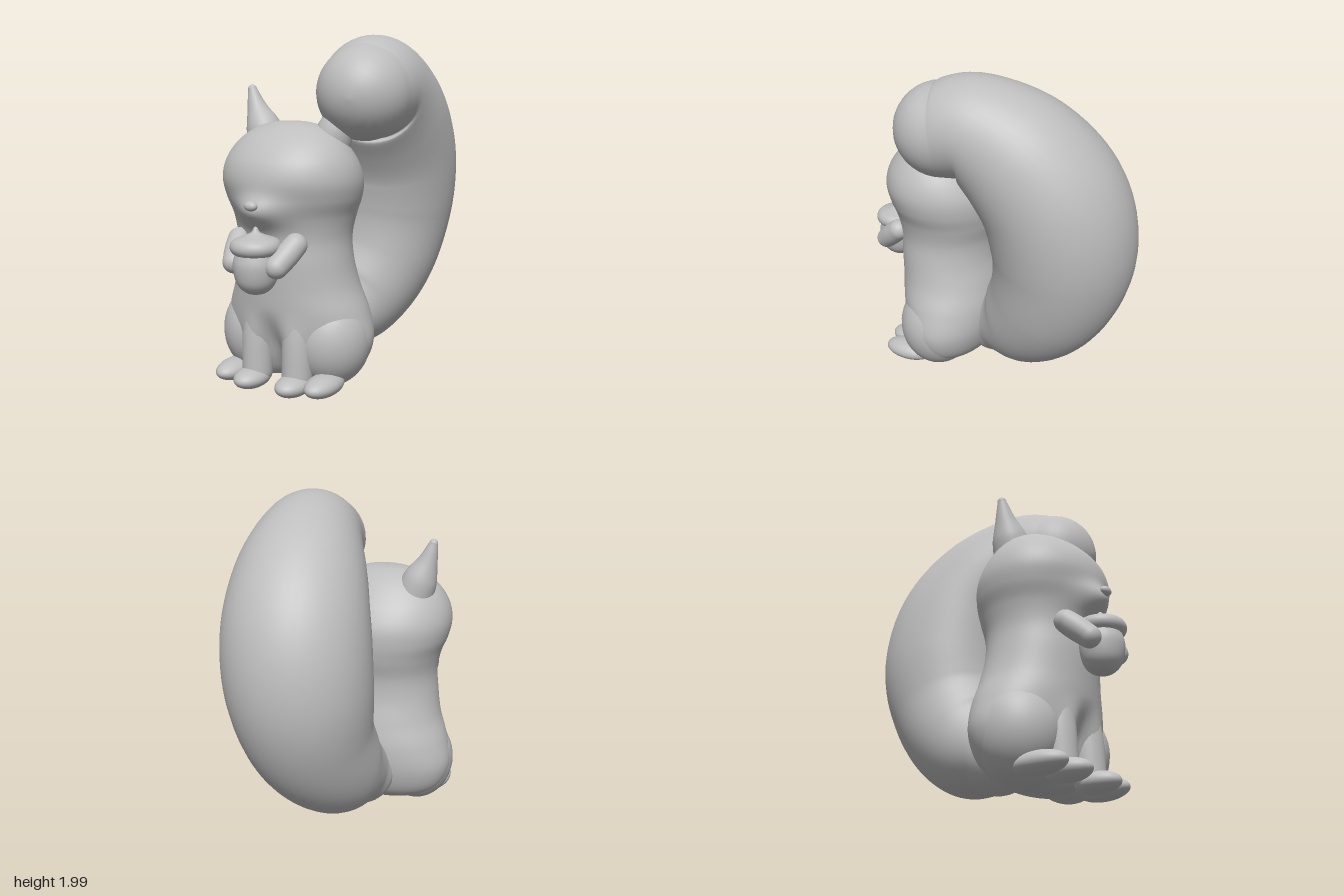
import * as THREE from 'three';

const fur = new THREE.MeshStandardMaterial({ color: 0xbebebe });
fur.name = 'plain grey';
const V = (x, y, z) => new THREE.Vector3(x, y, z);
const bell = (d, width) => Math.exp(-((d / width) ** 2));

// Skin a list of closed rings (equal point counts) with smooth normals
function skin(rings) {
  const n = rings[0].length, index = [];
  for (let i = 0; i < rings.length - 1; i++) {
    for (let j = 0; j < n; j++) {
      const k = (j + 1) % n;
      const a = i * n + j, b = i * n + k, c = b + n, d = a + n;
      index.push(a, b, c, a, c, d);
    }
  }
  const geo = new THREE.BufferGeometry().setFromPoints(rings.flat());
  geo.setIndex(index);
  geo.computeVertexNormals();
  return geo;
}

// Round limb along [x, y, z, radius] points, with domed ends
function limb(points, steps = 24, sides = 28) {
  const path = new THREE.CatmullRomCurve3(points.map(p => V(p[0], p[1], p[2])));
  const radii = new THREE.CatmullRomCurve3(points.map((p, i) => V(p[3], i, 0)));
  const rings = [];
  const addRing = (t, lift = 0, shrink = 1) => {
    const T = path.getTangent(t), r = radii.getPoint(t).x;
    const U = V(1, 0, 0).addScaledVector(T, -T.x).normalize();
    const W = T.clone().cross(U);
    const c = path.getPoint(t).addScaledVector(T, lift * r);
    rings.push(Array.from({ length: sides }, (_, j) => {
      const a = (j / sides) * Math.PI * 2;
      return c.clone().addScaledVector(U, Math.cos(a) * r * shrink)
        .addScaledVector(W, Math.sin(a) * r * shrink);
    }));
  };
  const dome = 10, q = Math.PI / 2 / dome;
  for (let i = dome; i > 0; i--) addRing(0, -Math.sin(i * q), Math.max(Math.cos(i * q), 1e-3));
  for (let i = 0; i <= steps; i++) addRing(i / steps);
  for (let i = 1; i <= dome; i++) addRing(1, Math.sin(i * q), Math.max(Math.cos(i * q), 1e-3));
  return skin(rings);
}

// Soft relief on the front of the body: muzzle, leg ridges and the hollow between them
function frontRelief(x, y) {
  const low = THREE.MathUtils.smoothstep(0.5 - y, 0, 0.25);
  return 0.085 * bell(x, 0.15) * bell(y - 1.04, 0.085)
    + low * (0.035 * bell(Math.abs(x) - 0.135, 0.08) - 0.05 * bell(x, 0.07));
}

// Upright oval body and head from [y, halfWidth, zBack, zFront] rows
function ovalLoft(rows, steps = 120, sides = 96) {
  const widths = new THREE.CatmullRomCurve3(rows.map(r => V(r[1], r[0], 0)));
  const depths = new THREE.CatmullRomCurve3(rows.map(r => V(r[2], r[0], r[3])));
  const rings = [];
  for (let i = 0; i <= steps; i++) {
    const w = widths.getPoint(i / steps), d = depths.getPoint(i / steps);
    const rx = Math.max(w.x, 1e-3), rz = Math.max((d.z - d.x) / 2, 1e-3), cz = (d.x + d.z) / 2;
    rings.push(Array.from({ length: sides }, (_, j) => {
      const a = (j / sides) * Math.PI * 2;
      const x = rx * Math.cos(a), front = Math.max(-Math.sin(a), 0);
      return V(x, w.y, cz - rz * Math.sin(a) + front * frontRelief(x, w.y));
    }));
  }
  return skin(rings);
}

export function createModel() {
  const model = new THREE.Group();
  model.name = 'squirrel';
  // The animal sits a little to its right; the tail curls to its left
  const animal = new THREE.Group();
  animal.name = 'animal';
  animal.position.x = -0.095;
  model.add(animal);

  const add = (name, geo, parent = animal) => {
    const mesh = new THREE.Mesh(geo, fur);
    mesh.name = name;
    parent.add(mesh);
    return mesh;
  };
  const blob = (name, x, y, z, rx, ry, rz) => {
    const mesh = add(name, new THREE.SphereGeometry(1, 40, 28));
    mesh.position.set(x, y, z);
    mesh.scale.set(rx, ry, rz);
    return mesh;
  };

  // Body and head in one smooth form
  add('bodyAndHead', ovalLoft([
    [0.035, 0, 0.3, 0.3], [0.045, 0.17, 0.2, 0.42], [0.075, 0.3, 0.13, 0.48],
    [0.15, 0.41, 0.06, 0.54], [0.29, 0.463, 0.01, 0.6], [0.45, 0.432, -0.005, 0.635],
    [0.6, 0.375, 0.015, 0.65], [0.75, 0.345, 0.045, 0.66], [0.88, 0.335, 0.045, 0.66],
    [1.0, 0.358, 0.015, 0.68], [1.1, 0.395, 0, 0.715], [1.2, 0.41, 0.005, 0.738],
    [1.3, 0.388, 0.05, 0.715], [1.4, 0.325, 0.13, 0.64], [1.47, 0.235, 0.21, 0.55],
    [1.51, 0.12, 0.3, 0.46], [1.52, 0, 0.38, 0.38],
  ]));
  blob('nose', 0, 1.085, 0.782, 0.04, 0.027, 0.028);

  // Paired parts
  for (const [side, s] of [['left', 1], ['right', -1]]) {
    add(side + 'Ear', limb([
      [s * 0.205, 1.37, 0.31, 0.115], [s * 0.245, 1.48, 0.31, 0.1],
      [s * 0.285, 1.58, 0.31, 0.06], [s * 0.318, 1.69, 0.31, 0.026],
    ]));
    add(side + 'Arm', limb([
      [s * 0.185, 0.87, 0.635, 0.065], [s * 0.165, 0.82, 0.69, 0.067], [s * 0.14, 0.765, 0.75, 0.063],
    ], 10));
    blob(side + 'Haunch', s * 0.235, 0.29, 0.35, 0.228, 0.27, 0.235);
    add(side + 'FrontLeg', limb([
      [s * 0.13, 0.5, 0.525, 0.08], [s * 0.135, 0.3, 0.54, 0.09], [s * 0.135, 0.1, 0.55, 0.088],
    ], 12));
    blob(side + 'FrontFoot', s * 0.14, 0.068, 0.595, 0.092, 0.06, 0.135);
    blob(side + 'HindFoot', s * 0.3, 0.078, 0.53, 0.09, 0.062, 0.16);
  }

  // Acorn held between the paws
  const acorn = new THREE.Group();
  acorn.name = 'acorn';
  acorn.position.z = 0.74;
  animal.add(acorn);
  const lathe = pts => new THREE.LatheGeometry(
    new THREE.SplineCurve(pts.map(p => new THREE.Vector2(...p))).getPoints(36), 36);
  add('acornNut', lathe([
    [0, 0.598], [0.06, 0.614], [0.105, 0.663], [0.124, 0.74], [0.12, 0.8], [0.09, 0.86], [0, 0.87],
  ]), acorn);
  add('acornCap', lathe([
    [0, 0.82], [0.09, 0.815], [0.128, 0.832], [0.14, 0.866], [0.12, 0.9],
    [0.06, 0.922], [0.025, 0.94], [0.01, 0.965], [0, 0.97],
  ]), acorn);

  // Big tail sweeping back, up and over the left shoulder
  add('tail', limb([
    [-0.08, 0.285, 0.03, 0.215], [-0.02, 0.41, -0.19, 0.315], [0.04, 0.645, -0.37, 0.375],
    [0.07, 0.97, -0.45, 0.42], [0.115, 1.29, -0.395, 0.42], [0.18, 1.555, -0.2, 0.375],
    [0.245, 1.695, 0.04, 0.305], [0.275, 1.675, 0.21, 0.268],
  ], 60, 48), model);

  return model;
}
